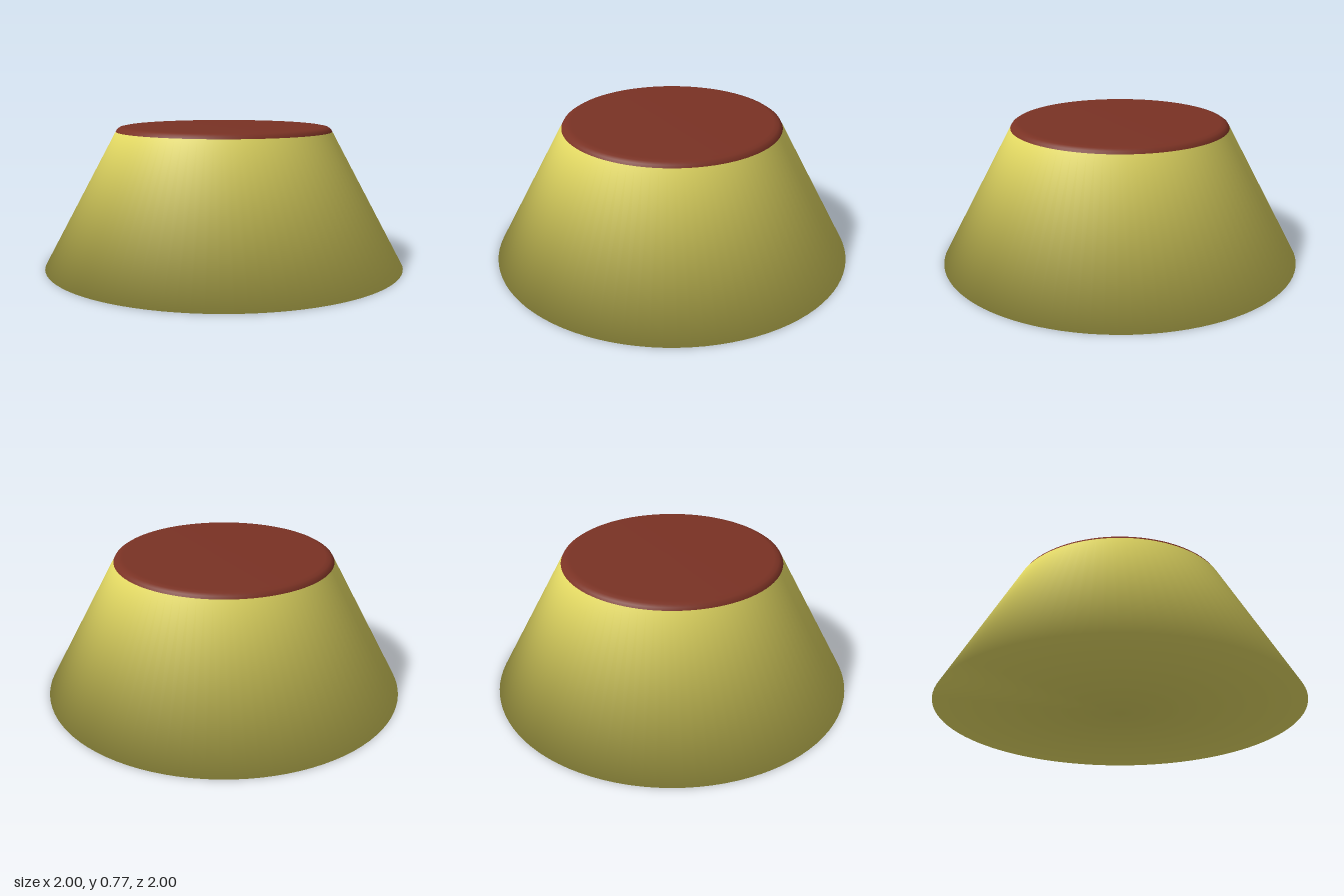
import * as THREE from 'three';

const SEGMENTS = 96;

// Revolve a profile of [radius, height] points, listed from bottom to top
function turned(name, profile, color) {
  const points = profile.map(([r, y]) => new THREE.Vector2(r, y));
  const mesh = new THREE.Mesh(
    new THREE.LatheGeometry(points, SEGMENTS),
    new THREE.MeshStandardMaterial({ color, side: THREE.DoubleSide })
  );
  mesh.name = name;
  return mesh;
}

export function createModel() {
  const group = new THREE.Group();
  group.name = 'custardPudding';

  // Tapered body, with a closed base softly shaded into the wall
  group.add(turned('custardBody', [[0, 0], [1, 0], [0.6, 0.74]], 0xe6dc64));

  // Thin caramel layer with a rounded rim
  group.add(turned('caramelTop', [
    [0.6, 0.74], [0.592, 0.753], [0.577, 0.763], [0.55, 0.768], [0, 0.768],
  ], 0x7a3224));

  return group;
}
